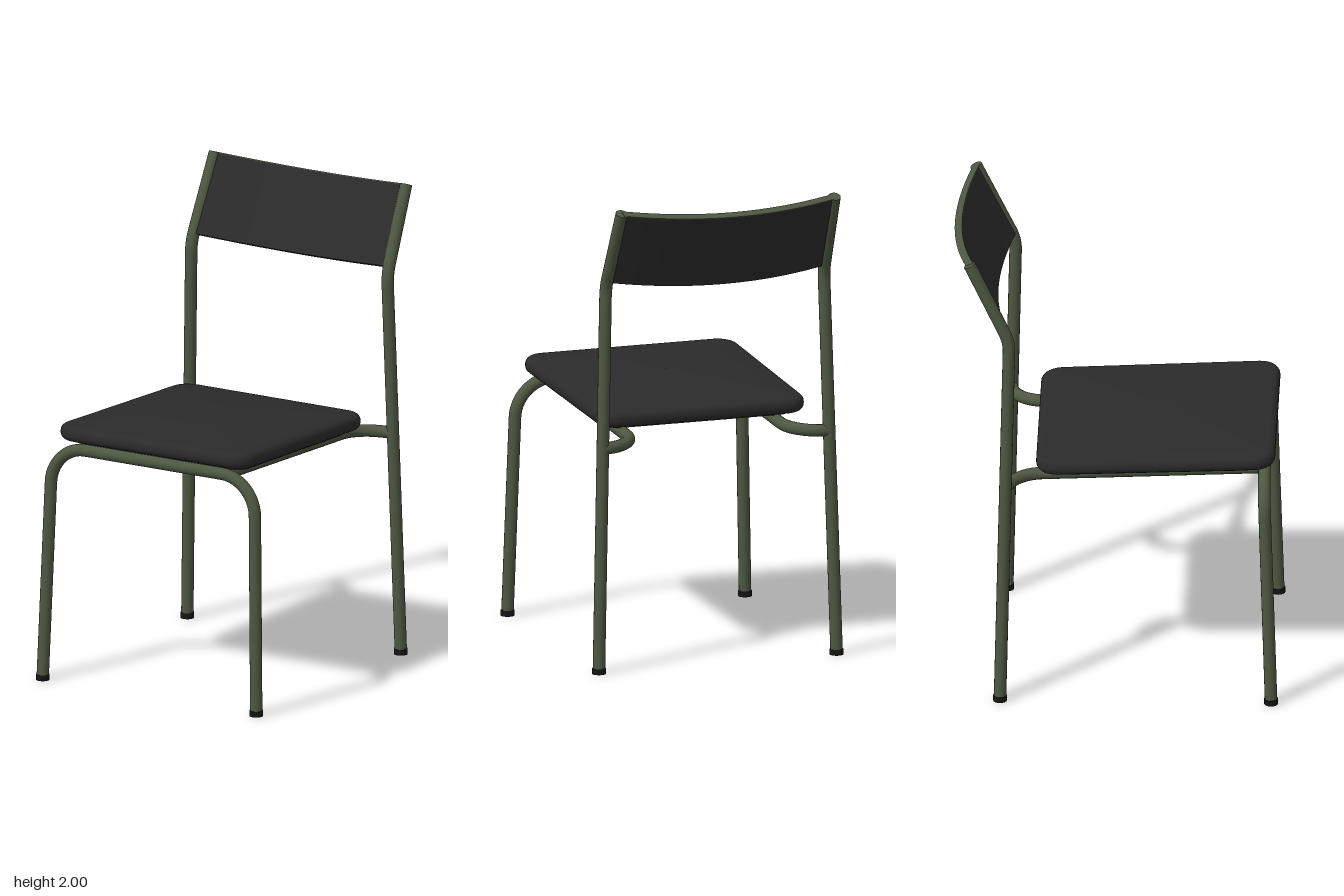
import * as THREE from 'three';

const R = 0.026; // frame tube radius
const green = new THREE.MeshStandardMaterial({ color: 0x4d5741 });
const black = new THREE.MeshStandardMaterial({ color: 0x2b2b2b });
const rubber = new THREE.MeshStandardMaterial({ color: 0x151515 });
const V = (x, y, z) => new THREE.Vector3(x, y, z);

function add(parent, name, geometry, material) {
  const mesh = new THREE.Mesh(geometry, material);
  mesh.name = name;
  parent.add(mesh);
  return mesh;
}

// Polyline whose inner corners are rounded, each starting d from the corner
function bentPath(points, d) {
  const path = new THREE.CurvePath();
  let from = points[0];
  for (let i = 1; i < points.length - 1; i++) {
    const p = points[i];
    const a = p.clone().add(points[i - 1].clone().sub(p).setLength(d));
    const b = p.clone().add(points[i + 1].clone().sub(p).setLength(d));
    path.add(new THREE.LineCurve3(from, a));
    path.add(new THREE.CubicBezierCurve3(a, a.clone().lerp(p, 0.55), b.clone().lerp(p, 0.55), b));
    from = b;
  }
  path.add(new THREE.LineCurve3(from, points[points.length - 1]));
  return path;
}

function tube(parent, name, points, d, segments = 80) {
  add(parent, name, new THREE.TubeGeometry(bentPath(points, d), segments, R, 16), green);
}

// Short cylinder centred on p along direction dir
function plug(parent, name, p, dir, radius, length, material) {
  const mesh = add(parent, name, new THREE.CylinderGeometry(radius, radius, length, 16), material);
  mesh.position.copy(p);
  mesh.quaternion.setFromUnitVectors(V(0, 1, 0), dir.clone().normalize());
}

// Rounded rectangle loop in x,z, counter-clockwise seen from below
function roundedLoop(hx, hz, r) {
  const pts = [];
  const corners = [[1, 1], [-1, 1], [-1, -1], [1, -1]];
  corners.forEach(([sx, sz], c) => {
    for (let i = 0; i <= 8; i++) {
      const a = (c + i / 8) * Math.PI / 2;
      pts.push([sx * (hx - r) + r * Math.cos(a), sz * (hz - r) + r * Math.sin(a)]);
    }
  });
  return pts;
}

// Stack of rounded loops from the underside centre to the domed top centre
function padGeometry(hx, hz, corner, profile, dome) {
  const pos = [], idx = [];
  let n = 0;
  for (const { inset = 0, scale = 1, y, top } of profile) {
    const loop = roundedLoop(hx - inset, hz - inset, corner - inset);
    n = loop.length;
    for (const [x, z] of loop) {
      const px = x * scale, pz = z * scale;
      const bulge = top ? dome * (1 - scale * scale) : 0;
      pos.push(px * (1 + 0.012 * pz / hz), y + bulge, pz);
    }
  }
  for (let k = 0; k < profile.length - 1; k++) {
    for (let i = 0; i < n; i++) {
      const a = k * n + i, b = k * n + (i + 1) % n;
      idx.push(a, a + n, b, b, a + n, b + n);
    }
  }
  const g = new THREE.BufferGeometry();
  g.setAttribute('position', new THREE.Float32BufferAttribute(pos, 3));
  g.setIndex(idx);
  g.computeVertexNormals();
  return g;
}

function buildSeat() {
  const seat = new THREE.Group();
  seat.name = 'seat';
  const h = 0.068, r = 0.03;
  const profile = [{ scale: 0.001, inset: r, y: 0 }, { scale: 0.9, inset: r, y: 0 }];
  for (let i = 0; i <= 5; i++) {
    const a = i / 5 * Math.PI / 2;
    profile.push({ inset: r * (1 - Math.sin(a)), y: r * (1 - Math.cos(a)) });
  }
  for (let i = 0; i <= 5; i++) {
    const a = i / 5 * Math.PI / 2;
    profile.push({ inset: r * (1 - Math.cos(a)), y: h - r + r * Math.sin(a) });
  }
  for (const s of [0.95, 0.85, 0.7, 0.5, 0.25, 0.001]) {
    profile.push({ scale: s, inset: r, y: h, top: true });
  }
  add(seat, 'seatCushion', padGeometry(0.464, 0.498, 0.09, profile, 0.03), black);

  // Inset board between cushion and frame
  const board = [
    { scale: 0.001, y: -0.016 }, { scale: 0.999, y: -0.016 }, { y: -0.016 },
    { y: 0.004 }, { scale: 0.999, y: 0.004 }, { scale: 0.001, y: 0.004 },
  ];
  add(seat, 'seatBoard', padGeometry(0.41, 0.43, 0.06, board, 0), black);
  seat.position.set(0, 1.024, 0.167);
  seat.rotation.x = -0.045;
  return seat;
}

// Curved band in plan, swept up along the slope of the post tops
function buildBackrest(postTop, slope) {
  const back = new THREE.Group();
  back.name = 'backrest';
  const half = 0.465, sag = 0.065, front = -0.016, thick = 0.033;
  const shape = new THREE.Shape();
  const N = 32;
  const bow = (x) => front + sag * (1 - (x / half) ** 2);
  for (let i = 0; i <= N; i++) {
    const x = -half + 2 * half * i / N;
    if (i) shape.lineTo(x, bow(x)); else shape.moveTo(x, bow(x));
  }
  for (let i = N; i >= 0; i--) {
    const x = -half + 2 * half * i / N;
    shape.lineTo(x, bow(x) + thick);
  }
  const across = V(1, 0, 0);
  const rear = slope.clone().cross(across);
  const slab = (name, start, depth, material) => {
    const g = new THREE.ExtrudeGeometry(shape, { depth, bevelEnabled: false });
    g.translate(0, 0, start);
    g.applyMatrix4(new THREE.Matrix4().makeBasis(across, rear, slope)
      .setPosition(0, postTop.y, postTop.z));
    add(back, name, g, material);
  };
  slab('backrestPanel', -0.35, 0.35, black);
  slab('backrestTopEdge', 0, 0.004, green);
  return back;
}

export function createModel() {
  const model = new THREE.Group();
  model.name = 'chair';

  const bend = V(0.482, 1.64, -0.441), top = V(0.47, 1.986, -0.605);
  const slope = V(0, top.y - bend.y, top.z - bend.z).normalize();

  // Front legs and cross bar in one bent tube
  tube(model, 'frontLegs', [
    V(-0.525, 0.012, 0.65), V(-0.497, 1.01, 0.618),
    V(0.497, 1.01, 0.618), V(0.525, 0.012, 0.65),
  ], 0.16, 160);

  for (const s of [1, -1]) {
    const side = s > 0 ? 'left' : 'right';
    const m = (v) => V(v.x * s, v.y, v.z);
    const rearFoot = V(0.525, 0.012, -0.478), frontFoot = V(0.525, 0.012, 0.65);

    // Rear post with tilted top
    tube(model, side + 'RearPost', [rearFoot, bend, top].map(m), 0.04, 120);
    plug(model, side + 'PostCap', m(top), m(top.clone().sub(bend)), R, 0.006, green);

    // Seat rail curving out to the post
    tube(model, side + 'SeatRail', [
      V(0.34, 1.006, 0.618), V(0.34, 0.958, -0.456), V(0.499, 0.955, -0.456),
    ].map(m), 0.15);

    // Foot caps
    plug(model, side + 'RearFoot', m(rearFoot), V(0, 1, 0), R + 0.003, 0.024, rubber);
    plug(model, side + 'FrontFoot', m(frontFoot), V(0, 1, 0), R + 0.003, 0.024, rubber);
  }

  model.add(buildSeat(), buildBackrest(top, slope));
  return model;
}
